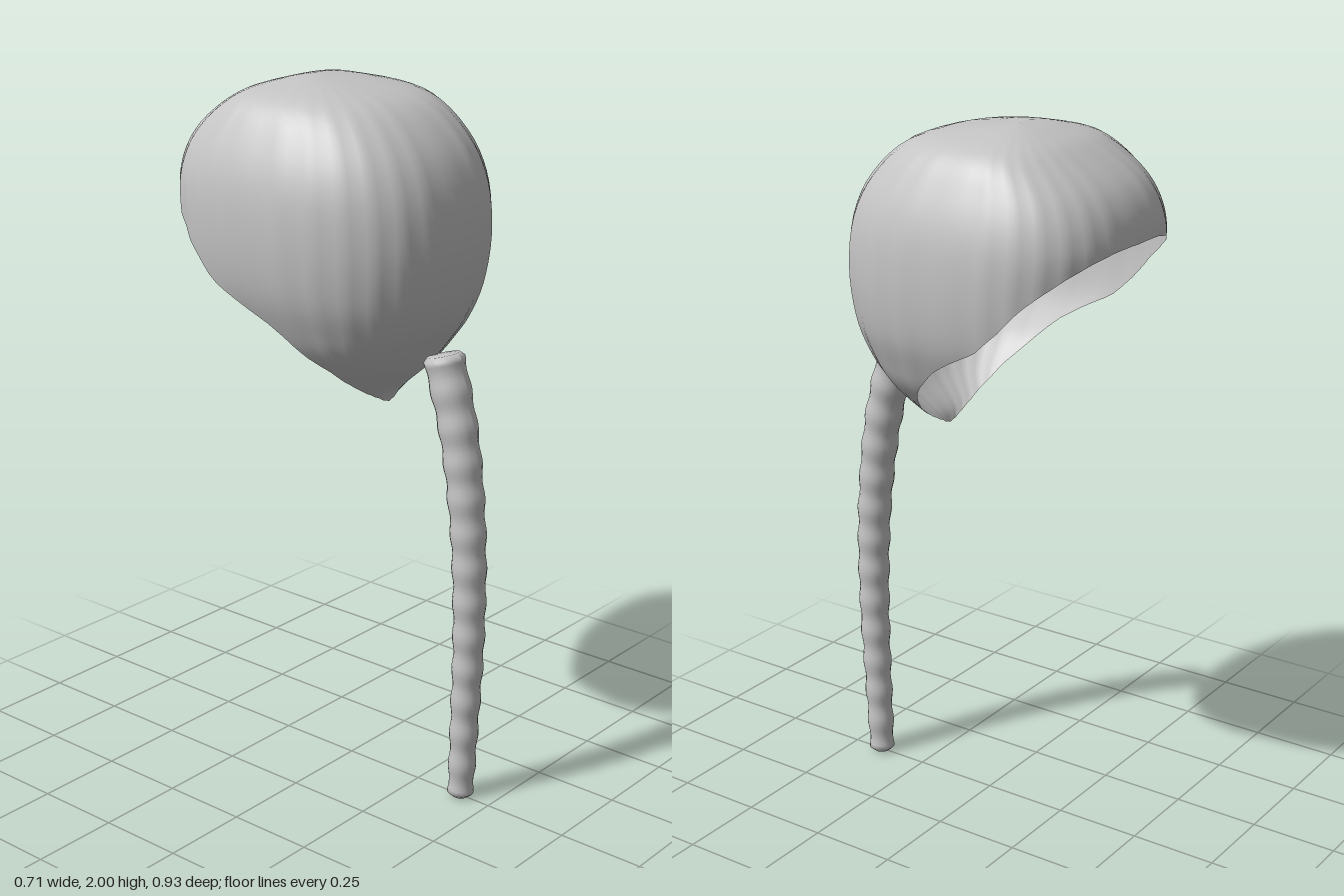
import * as THREE from 'three';

// Hood cross-sections from crown to tip: height, half width, front z, middle z, back z
const SECTIONS = [
  [2.0, 0.025, -0.108, -0.11, -0.112],
  [1.985, 0.13, 0.02, -0.11, -0.19],
  [1.948, 0.245, 0.18, -0.11, -0.29],
  [1.855, 0.31, 0.29, -0.11, -0.41],
  [1.74, 0.348, 0.348, -0.11, -0.46],
  [1.6, 0.355, 0.366, -0.11, -0.45],
  [1.465, 0.338, 0.35, -0.1, -0.44],
  [1.37, 0.3, 0.317, -0.07, -0.43],
  [1.3, 0.262, 0.272, -0.04, -0.42],
  [1.23, 0.192, 0.22, 0, -0.4],
  [1.16, 0.12, 0.148, 0, -0.4],
  [1.11, 0.03, 0.13, 0, -0.4],
];
// Height of the cut edge along z
const RIM = [[-0.46, 1.725], [-0.4, 1.675], [-0.313, 1.6], [-0.25, 1.53], [-0.18, 1.465], [-0.1, 1.425],
  [-0.02, 1.375], [0.05, 1.305], [0.095, 1.25], [0.125, 1.19], [0.136, 1.11], [0.15, 1.0]];

function rimHeight(z) {
  if (z <= RIM[0][0]) return RIM[0][1];
  for (let i = 1; i < RIM.length; i++) {
    const [z0, y0] = RIM[i - 1], [z1, y1] = RIM[i];
    if (z <= z1) return y0 + (y1 - y0) * (z - z0) / (z1 - z0);
  }
  return 1.0;
}

// Smooth blend between neighbouring sections
function sectionAt(s) {
  const last = SECTIONS.length - 1;
  const i = Math.min(Math.floor(s), last - 1), t = s - i;
  const row = (k) => SECTIONS[THREE.MathUtils.clamp(k, 0, last)];
  const [a, b, c, d] = [row(i - 1), row(i), row(i + 1), row(i + 2)];
  return b.map((v, k) => v + 0.5 * t * (c[k] - a[k]
    + t * (2 * a[k] - 5 * v + 4 * c[k] - d[k] + t * (3 * (v - c[k]) + d[k] - a[k]))));
}

function hoodPoint(s, angle) {
  const [y, w, zf, zc, zb] = sectionAt(s);
  const round = (v) => Math.sign(v) * Math.pow(Math.abs(v), 2 / 2.6);
  const cx = round(Math.sin(angle)), cz = round(Math.cos(angle));
  const pleat = 1 + 0.005 * Math.cos(28 * angle);
  return [cx * w * pleat, y, zc + cz * (cz > 0 ? zf - zc : zc - zb) * pleat];
}

// How far down a meridian runs before meeting the cut edge
function rimParameter(angle) {
  const end = SECTIONS.length - 1;
  const above = (s) => { const p = hoodPoint(s, angle); return p[1] > rimHeight(p[2]); };
  let s = 2;
  while (s < end && above(s)) s += 0.05;
  if (s >= end) return end;
  let lo = s - 0.05, hi = s;
  for (let k = 0; k < 20; k++) {
    const mid = (lo + hi) / 2;
    if (above(mid)) lo = mid; else hi = mid;
  }
  return lo;
}

function hoodGeometry() {
  const around = 112, down = 40, positions = [], index = [];
  const ends = Array.from({ length: around }, (_, i) => rimParameter(i / around * Math.PI * 2));
  for (let j = 0; j <= down; j++) {
    for (let i = 0; i < around; i++) {
      positions.push(...hoodPoint(ends[i] * j / down, i / around * Math.PI * 2));
      if (j === down) continue;
      const n = (i + 1) % around, a = j * around + i, d = j * around + n;
      index.push(a, a + around, d + around, a, d + around, d);
    }
  }
  // close the little slit at the crown
  for (let i = 1; i < around - 1; i++) index.push(0, i, i + 1);
  const g = new THREE.BufferGeometry();
  g.setAttribute('position', new THREE.Float32BufferAttribute(positions, 3));
  g.setIndex(index);
  g.computeVertexNormals();
  return g;
}

// Ringed stalk: a lathe bent along a gentle curve
function stalkGeometry() {
  const path = new THREE.CatmullRomCurve3([
    [0.402, 0.005], [0.412, 0.25], [0.42, 0.5], [0.412, 0.8], [0.375, 1.08], [0.318, 1.295],
  ].map(([z, y]) => new THREE.Vector3(0, y, z)));
  const steps = 104, profile = [new THREE.Vector2(0, 0), new THREE.Vector2(0.024, 0)];
  for (let k = 1; k < steps; k++) {
    const t = k / steps;
    profile.push(new THREE.Vector2(0.036 + 0.02 * t + 0.0025 * Math.cos(t * 13 * Math.PI * 2), t));
  }
  profile.push(new THREE.Vector2(0.046, 1), new THREE.Vector2(0, 1));
  const g = new THREE.LatheGeometry(profile, 20);
  const pos = g.attributes.position;
  for (let i = 0; i < pos.count; i++) {
    const t = pos.getY(i), z = pos.getZ(i);
    const c = path.getPointAt(t), d = path.getTangentAt(t);
    pos.setXYZ(i, pos.getX(i), Math.max(0, c.y - d.z * z), c.z + d.y * z);
  }
  g.computeVertexNormals();
  return g;
}

export function createModel() {
  const group = new THREE.Group();
  const grey = new THREE.MeshStandardMaterial({ color: 0xc4c4c4, side: THREE.DoubleSide });
  grey.name = 'light grey';

  const hood = new THREE.Mesh(hoodGeometry(), grey);
  hood.name = 'hood';
  const stalk = new THREE.Mesh(stalkGeometry(), grey);
  stalk.name = 'stalk';
  group.add(hood, stalk);
  return group;
}
